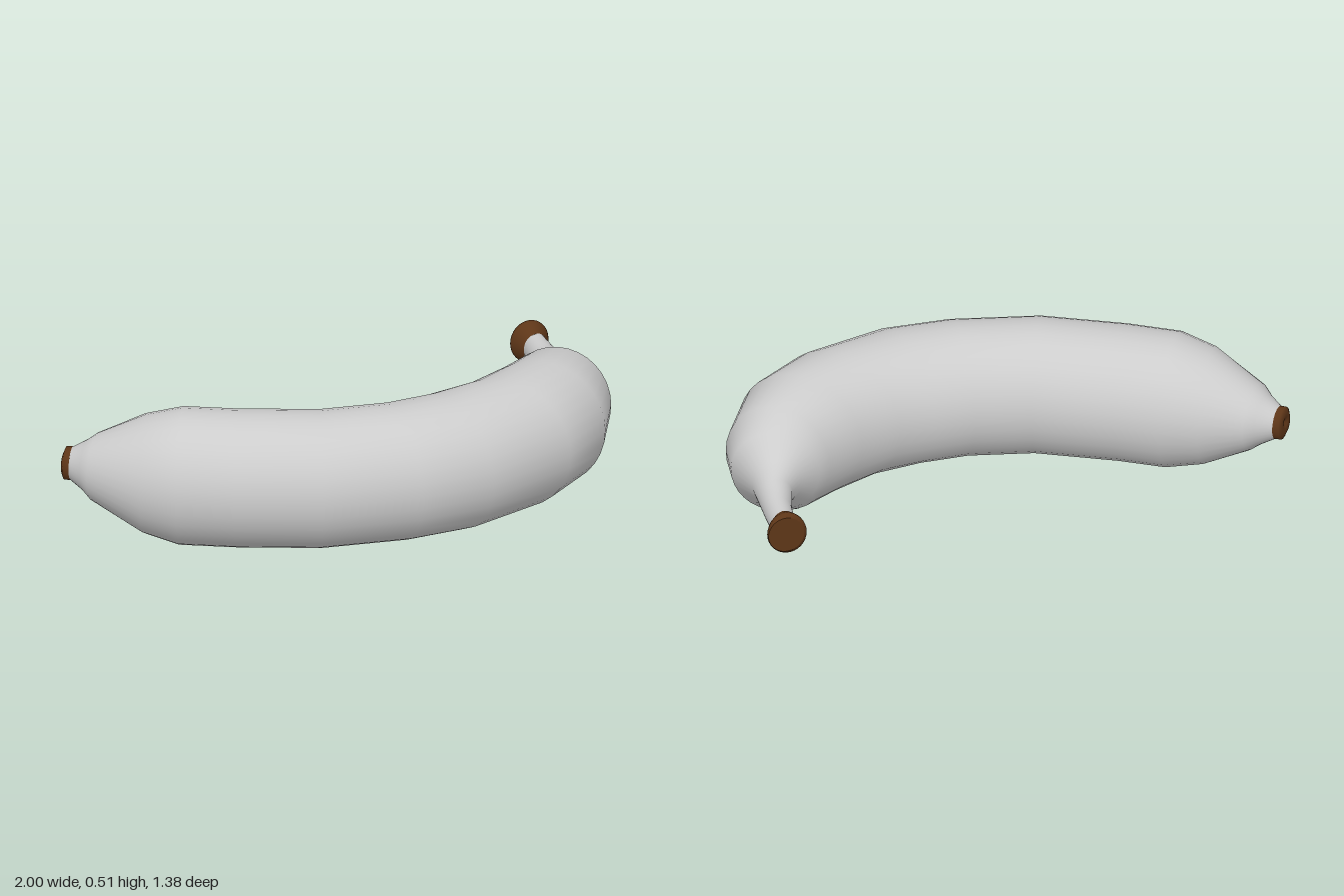
import * as THREE from 'three';

const SIDES = 32;
const MID_Y = 0.257;

const skin = new THREE.MeshStandardMaterial({ color: 0xcccccc });
skin.name = 'paleGreySkin';
const brown = new THREE.MeshStandardMaterial({ color: 0x5e3618 });
brown.name = 'brownEnds';

// Skins elliptical rings given as [inner x, inner z, outer x, outer z, half height].
// A repeated ring makes a crease.
function loft(name, rings, material) {
  const pos = [], index = [];
  for (const [ix, iz, ox, oz, h] of rings) {
    for (let j = 0; j < SIDES; j++) {
      const a = (j / SIDES) * Math.PI * 2;
      const t = (1 + Math.cos(a)) / 2;
      pos.push(ix + (ox - ix) * t, MID_Y + Math.sin(a) * h, iz + (oz - iz) * t);
    }
  }
  for (let i = 0; i < rings.length - 1; i++) {
    for (let j = 0; j < SIDES; j++) {
      const k = (j + 1) % SIDES;
      const a = i * SIDES + j, b = i * SIDES + k;
      index.push(a, a + SIDES, b, b, a + SIDES, b + SIDES);
    }
  }
  const g = new THREE.BufferGeometry();
  g.setAttribute('position', new THREE.Float32BufferAttribute(pos, 3));
  g.setIndex(index);
  g.computeVertexNormals();
  const mesh = new THREE.Mesh(g, material);
  mesh.name = name;
  return mesh;
}

export function createModel() {
  const group = new THREE.Group();
  group.name = 'banana';

  // Curved fruit, from the blossom tip to the end of the stem
  group.add(loft('fruitAndStem', [
    [-0.95, 0.275, -0.972, 0.383, 0.06],
    [-0.88, 0.25, -0.93, 0.43, 0.095],
    [-0.84, 0.235, -0.904, 0.47, 0.125],
    [-0.68, 0.2, -0.71, 0.61, 0.22],
    [-0.54, 0.193, -0.58, 0.658, 0.257],
    [-0.375, 0.208, -0.364, 0.68, 0.257],
    [-0.07, 0.214, -0.043, 0.684, 0.257],
    [0.13, 0.17, 0.32, 0.604, 0.257],
    [0.265, 0.108, 0.578, 0.497, 0.257],
    [0.385, 0.053, 0.856, 0.262, 0.257],
    [0.51, -0.064, 0.98, 0.06, 0.253],
    [0.61, -0.2, 1.0, -0.15, 0.222],
    [0.64, -0.25, 0.963, -0.273, 0.168],
    [0.695, -0.31, 0.87, -0.364, 0.098],
    [0.72, -0.39, 0.834, -0.455, 0.07],
    [0.705, -0.5, 0.8, -0.54, 0.058],
    [0.678, -0.595, 0.763, -0.625, 0.057],
  ], skin));

  // Dark blossom tip with a small dimple
  group.add(loft('blossomTip', [
    [-0.977, 0.333, -0.977, 0.333, 0],
    [-0.981, 0.313, -0.991, 0.353, 0.022],
    [-0.981, 0.313, -0.991, 0.353, 0.022],
    [-0.978, 0.293, -0.998, 0.363, 0.042],
    [-0.967, 0.274, -0.993, 0.38, 0.063],
    [-0.945, 0.272, -0.97, 0.386, 0.063],
  ], brown));

  // Flared cut end of the stem
  const rim = [0.638, -0.645, 0.762, -0.693, 0.072];
  group.add(loft('stemCap', [
    [0.68, -0.583, 0.758, -0.613, 0.056],
    [0.676, -0.588, 0.76, -0.62, 0.06],
    [0.635, -0.628, 0.769, -0.662, 0.082],
    [0.63, -0.637, 0.769, -0.678, 0.085],
    rim, rim,
    [0.7, -0.669, 0.7, -0.669, 0],
  ], brown));

  return group;
}
